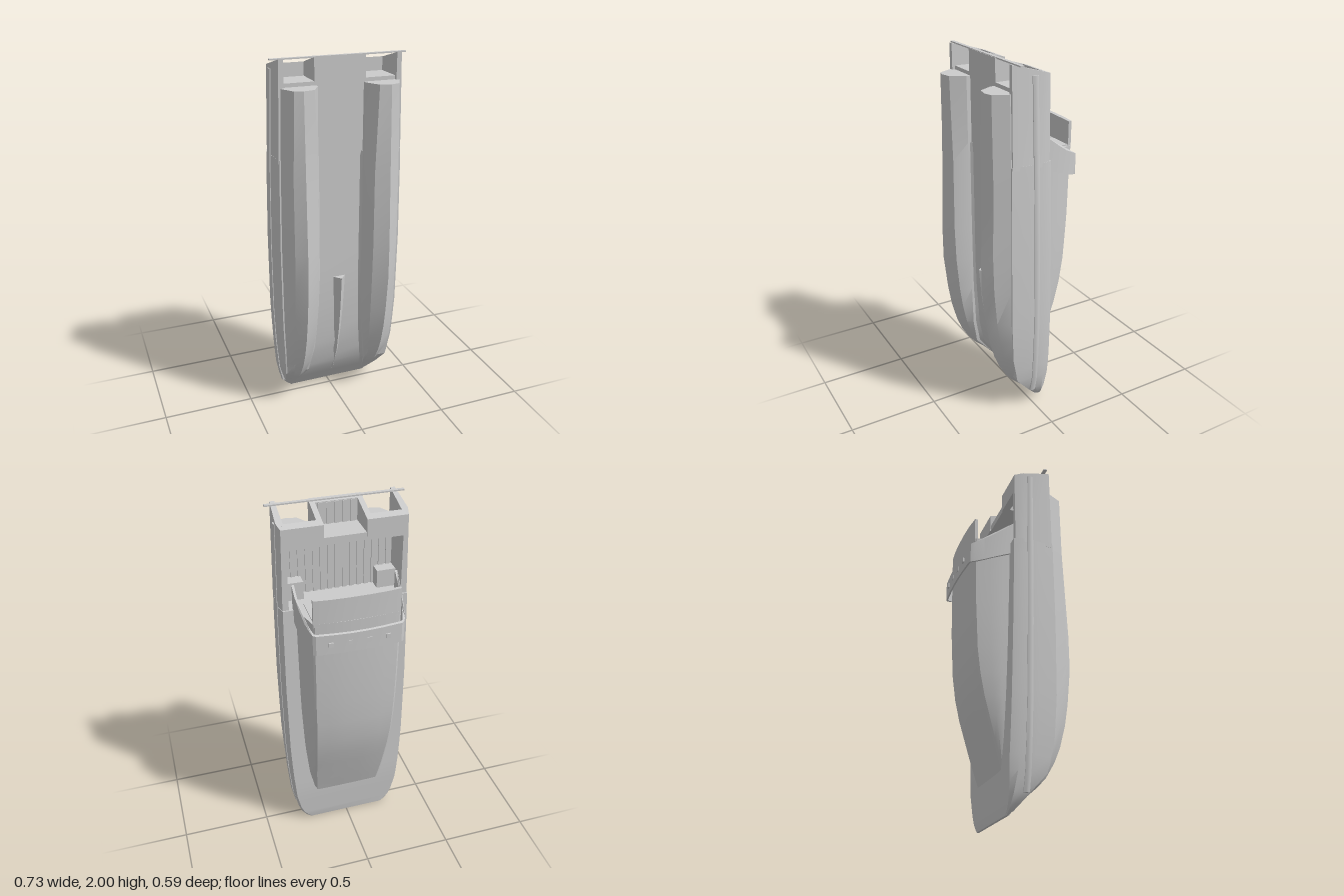
import * as THREE from 'three';
import { toCreasedNormals } from 'three/addons/utils/BufferGeometryUtils.js';

const material = new THREE.MeshStandardMaterial({ color: 0xcccccc, side: THREE.DoubleSide });

// Piecewise linear lookup in [position, value] pairs
function at(table, y) {
  for (let i = 1; i < table.length; i++) {
    const [a, va] = table[i - 1], [b, vb] = table[i];
    if (y <= b) return va + (vb - va) * Math.max(0, (y - a) / (b - a));
  }
  return table[table.length - 1][1];
}

// Closed skin over rings of [x, y, z], ordered from low to high y
function loft(rings) {
  const flat = rings[rings.length - 1].map(p => new THREE.Vector2(p[0], p[2]));
  if (THREE.ShapeUtils.isClockWise(flat)) {
    flat.reverse();
    rings = rings.map(r => r.slice().reverse());
  }
  const n = flat.length, index = [];
  for (let i = 0; i < rings.length - 1; i++) {
    for (let j = 0; j < n; j++) {
      const a = i * n + j, b = i * n + (j + 1) % n;
      index.push(a, a + n, b, b, a + n, b + n);
    }
  }
  const top = (rings.length - 1) * n;
  for (const [a, b, c] of THREE.ShapeUtils.triangulateShape(flat, [])) {
    index.push(a, b, c, top + a, top + c, top + b);
  }
  const geometry = new THREE.BufferGeometry();
  geometry.setAttribute('position', new THREE.Float32BufferAttribute(rings.flat(2), 3));
  geometry.setIndex(index);
  return toCreasedNormals(geometry, 0.4);
}

// Full outline from a right half, listed from the deck side to the keel side
const mirrored = half => [...half, ...half.slice().reverse().map(([x, y, z]) => [-x, y, z])];

// Raked stern face
const transom = z => 1.955 + z * 0.3;

const stations = [0, 0.02, 0.05, 0.1, 0.15, 0.2, 0.28, 0.36, 0.48, 0.6, 0.8, 1, 1.2, 1.4, 1.5];
const beam = [[0, 0.232], [0.02, 0.258], [0.05, 0.282], [0.1, 0.303], [0.2, 0.325], [0.4, 0.342],
  [0.6, 0.35], [1, 0.354], [1.4, 0.35], [2, 0.335]];
const deckZ = [[0, -0.072], [0.25, -0.084], [2, -0.048]];
const tunnelZ = [[0, -0.058], [0.05, -0.02], [0.1, 0.02], [0.2, 0.075], [0.36, 0.115], [0.6, 0.138], [0.8, 0.146]];
const stepZ = [[0, -0.057], [0.05, -0.018], [0.1, 0.028], [0.2, 0.115], [0.36, 0.15], [0.6, 0.165], [1, 0.17]];
const keelZ = [[0, -0.055], [0.05, -0.008], [0.1, 0.038], [0.15, 0.095], [0.2, 0.14], [0.28, 0.187], [0.36, 0.22],
  [0.48, 0.252], [0.6, 0.272], [0.8, 0.293], [1, 0.293], [1.4, 0.277], [1.86, 0.26]];
const chineDrop = [[0, 0.003], [0.1, 0.01], [0.2, 0.025], [0.4, 0.04], [0.8, 0.045], [1.4, 0.03], [1.86, 0.012]];
const podInner = [[0, 0.228], [0.1, 0.203], [0.2, 0.175], [0.4, 0.143], [0.7, 0.126], [1.86, 0.128]];
const chineHalf = [[0, 0.002], [0.1, 0.022], [0.2, 0.04], [0.4, 0.065], [0.7, 0.078], [1.4, 0.075], [1.86, 0.06]];
const roofZ = [[0.22, -0.08], [0.39, -0.135], [0.6, -0.2], [0.72, -0.228], [0.86, -0.246], [1.13, -0.26], [1.5, -0.266]];

export function createModel() {
  const group = new THREE.Group();
  const add = (name, geometry) => {
    const mesh = new THREE.Mesh(geometry, material);
    mesh.name = name;
    group.add(mesh);
  };
  // Box by its limits; without y1 its upper end follows the raked stern
  const block = (name, x0, x1, z0, z1, y0, y1) => {
    const outline = [[x0, z0], [x1, z0], [x1, z1], [x0, z1]];
    add(name, loft([
      outline.map(([x, z]) => [x, y0, z]),
      outline.map(([x, z]) => [x, y1 ?? transom(z), z]),
    ]));
  };

  // Main body between deck and tunnel, closed forward of the cockpit
  add('mainHull', loft(stations.map(y => {
    const w = at(beam, y), d = at(deckZ, y), t = at(tunnelZ, y), s = at(stepZ, y), p = at(podInner, y);
    return mirrored([
      [w - 0.012, y, d], [w, y, d + (s - d) * 0.2], [w - 0.003, y, d + (s - d) * 0.6],
      [w - 0.012, y, s], [p + 0.01, y, s], [p, y, t + (s - t) * 0.5], [p - 0.012, y, t],
    ]);
  })));

  // Raised V in the middle of the tunnel
  add('tunnelRidge', loft([0.06, 0.15, 0.3, 0.45, 0.6, 0.79].map(y => {
    const f = (y - 0.06) / 0.73, w = 0.004 + 0.031 * f, t = at(tunnelZ, y);
    return [[-w, y, t - 0.01], [w, y, t - 0.01], [w, y, t], [0, y, t + 0.003 + 0.037 * f], [-w, y, t]];
  })));

  for (const s of [-1, 1]) {
    // Hull pods with hard chines, ending ahead of the stern
    add('hullPod', loft([...stations.slice(1), 1.65, 1.86].map(y => {
      const w = at(beam, y) - 0.02, st = at(stepZ, y), t = at(tunnelZ, y), k = at(keelZ, y);
      const c = k - at(chineDrop, y), h = at(chineHalf, y), p = at(podInner, y);
      const keelX = 0.232;
      const outer = Math.min(w, keelX + h * 0.75);
      return [
        [w, y, t - 0.03], [w, y, Math.min(st, c)], [outer, y, c], [keelX, y, k],
        [keelX - h, y, c], [p, y, Math.min(st, c)], [p, y, t - 0.03],
      ].map(([x, yy, z]) => [x * s, yy, z]);
    })));

    // Rub rail along the side
    add('rubRail', loft([0.1, 0.2, 0.4, 0.6, 1, 1.4, 1.94].map(y => {
      const w = at(beam, y), z = -0.01 + 0.018 * y;
      return [[w - 0.015, z], [w + 0.002, z], [w + 0.006, z + 0.01], [w + 0.006, z + 0.022],
        [w + 0.002, z + 0.032], [w - 0.015, z + 0.032]].map(([x, zz]) => [x * s, y, zz]);
    })));

    // Cockpit side, running back to the raked stern
    add('cockpitSide', loft([1.48, null].map(y => {
      const ends = y ? 0.348 : 0.337;
      return [[0.302, -0.05], [ends - 0.012, -0.05], [ends, 0], [ends - 0.01, 0.165], [0.302, 0.165]]
        .map(([x, z]) => [x * s, y ?? Math.min(2, transom(z)), z]);
    })));

    // Stern pocket: deck beam, inner wall and closing bulkhead
    const [a, b] = s > 0 ? [0.11, 0.31] : [-0.31, -0.11];
    block('sternBeam', a, b, -0.05, -0.01, 1.83);
    block('pocketBulkhead', a, b, -0.01, 0.145, 1.86, 1.88);
    block('pocketInnerWall', s > 0 ? 0.11 : -0.138, s > 0 ? 0.138 : -0.11, -0.05, 0.148, 1.83);
    block('cockpitSeat', s > 0 ? 0.2 : -0.305, s > 0 ? 0.305 : -0.2, 0.04, 0.12, 1.49, 1.6);
  }

  // Cockpit floor with slats, centre walkway and stern bar
  block('cockpitFloor', -0.31, 0.31, 0.112, 0.148, 1.48, 1.88);
  block('sternFloor', -0.135, 0.135, 0.112, 0.148, 1.86);
  block('walkwayStep', -0.11, 0.11, -0.045, 0.112, 1.83, 1.87);
  for (let i = 0; i < 15; i++) {
    const x = -0.28 + i * 0.04;
    block('floorSlat', x - 0.012, x + 0.012, 0.104, 0.114, 1.5, 1.83);
  }
  for (let i = -2; i <= 2; i++) block('walkwaySlat', i * 0.042 - 0.012, i * 0.042 + 0.012, 0.106, 0.114, 1.87, 1.985);
  block('sternBar', -0.363, 0.363, 0.12, 0.14, 1.993, 2);

  // Cabin, sloping down to the foredeck
  const cabinBase = [[0.22, 0.2], [0.4, 0.235], [0.6, 0.253], [0.9, 0.266], [1.5, 0.27]];
  const cabinRoof = [[0.22, 0.195], [0.4, 0.21], [0.7, 0.223], [1, 0.229], [1.5, 0.231]];
  add('cabin', loft([0.22, 0.3, 0.39, 0.5, 0.6, 0.72, 0.86, 1, 1.13, 1.3, 1.52].map(y => {
    const wb = at(cabinBase, y), wt = at(cabinRoof, y), z = at(roofZ, y), d = at(deckZ, y) + 0.02;
    const crown = 0.014 * Math.min(1, (y - 0.2) / 0.5), edge = z + crown;
    return mirrored([
      [0.06, y, z], [0.15, y, z + crown * 0.4], [wt - 0.01, y, edge], [wt, y, edge + 0.008],
      [wt + (wb - wt) * 0.55, y, edge + (d - edge) * 0.4], [wt + (wb - wt) * 0.85, y, edge + (d - edge) * 0.7], [wb, y, d],
    ]);
  })));

  // Roof overhang behind the cabin
  add('roofOverhang', loft([1.5, 1.65].map(y => mirrored([
    [0.06, y, -0.264], [0.15, y, -0.26], [0.228, y, -0.251], [0.228, y, -0.234], [0.06, y, -0.242],
  ]))));

  // Rear door panels
  block('rearPanel', -0.225, -0.075, -0.232, -0.055, 1.515, 1.526);
  block('rearPanel', -0.068, 0.075, -0.232, -0.055, 1.515, 1.526);
  block('rearPanel', 0.082, 0.225, -0.232, -0.055, 1.515, 1.526);

  // Wraparound arch, wide at the deck and narrow over the roof
  const outside = [[0.281, -0.04], [0.279, -0.09], [0.272, -0.15], [0.262, -0.205], [0.249, -0.255],
    [0.24, -0.277], [0.225, -0.285], [0.12, -0.292], [0.04, -0.295]];
  const inside = [[0.268, -0.04], [0.267, -0.09], [0.261, -0.15], [0.251, -0.205], [0.239, -0.25],
    [0.231, -0.27], [0.218, -0.275], [0.12, -0.282], [0.04, -0.285]];
  const full = half => mirrored(half.map(([x, z]) => [x, 0, z]));
  const arch = [...full(outside), ...full(inside).reverse()];
  const low = [[-0.295, 1.356], [-0.235, 1.365], [-0.04, 1.44]];
  const high = [[-0.295, 1.465], [-0.2, 1.51], [-0.1, 1.58], [-0.04, 1.635]];
  add('arch', loft([low, high].map(edge => arch.map(([x, , z]) => [x, at(edge, z), z]))));

  // Small fittings on the arch
  for (const x of [-0.15, -0.05, 0.05, 0.15]) block('archFitting', x - 0.012, x + 0.012, -0.298, -0.285, 1.4, 1.425);

  return group;
}
